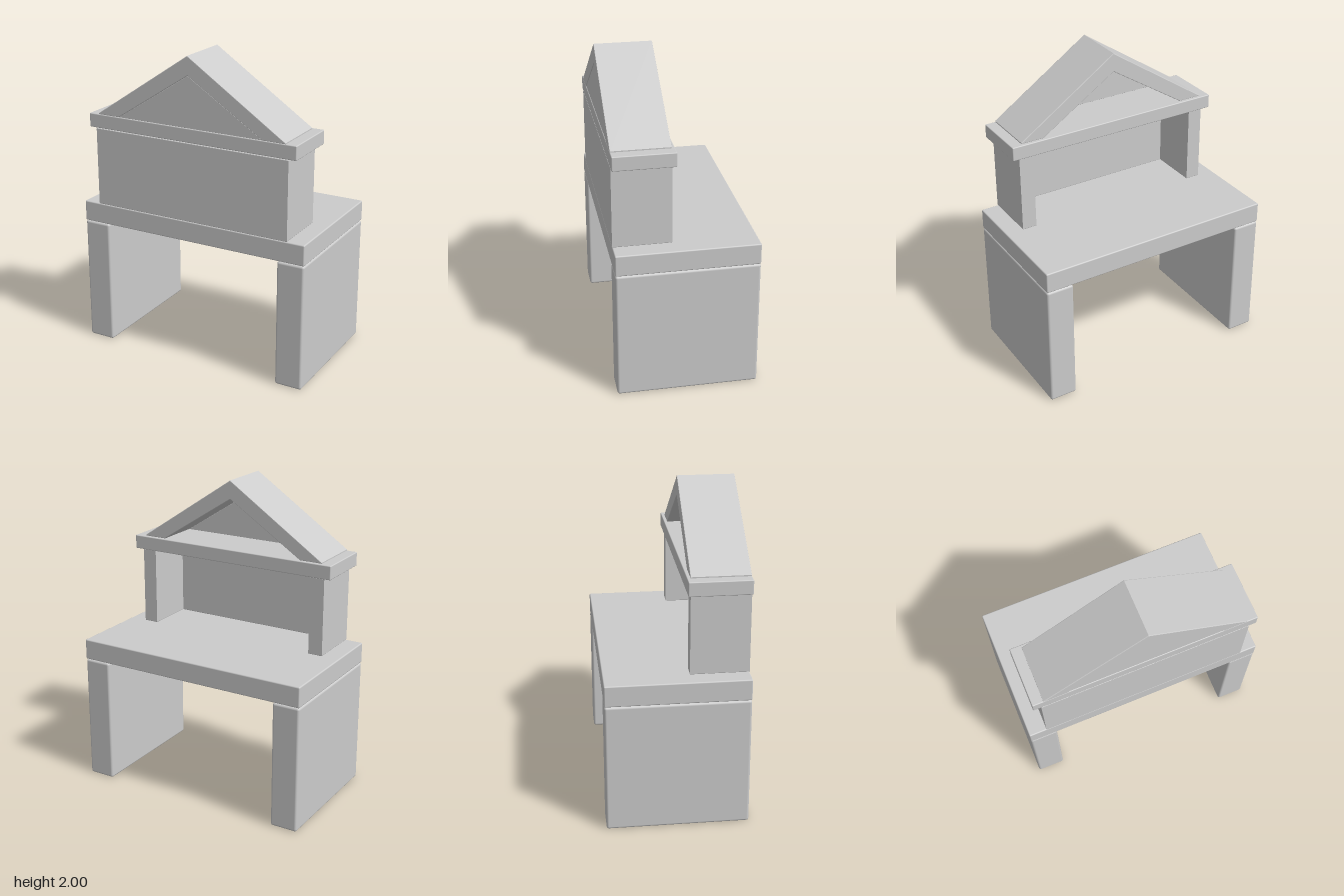
import * as THREE from 'three';
import { RoundedBoxGeometry } from 'three/addons/geometries/RoundedBoxGeometry.js';

const material = new THREE.MeshStandardMaterial({ color: 0xcccccc });

// Box given by its limits on each axis, with softly rounded edges
function slab(name, [x0, x1], [y0, y1], [z0, z1], radius) {
  const geometry = new RoundedBoxGeometry(x1 - x0, y1 - y0, z1 - z0, 3, radius);
  const mesh = new THREE.Mesh(geometry, material);
  mesh.position.set((x0 + x1) / 2, (y0 + y1) / 2, (z0 + z1) / 2);
  mesh.name = name;
  return mesh;
}

// Outline pushed from `start` to `end`, with a small bevel kept inside those limits
function extrusion(name, points, start, end, bevel) {
  const shape = new THREE.Shape(points.map(([x, y]) => new THREE.Vector2(x, y)));
  const geometry = new THREE.ExtrudeGeometry(shape, {
    depth: end - start - 2 * bevel,
    bevelEnabled: true,
    bevelThickness: bevel,
    bevelSize: bevel,
    bevelOffset: -bevel,
    bevelSegments: 2,
  });
  geometry.translate(0, 0, start + bevel);
  const mesh = new THREE.Mesh(geometry, material);
  mesh.name = name;
  return mesh;
}

export function createModel() {
  const model = new THREE.Group();
  model.name = 'puppetTheatreTable';

  // Two solid side legs and the table top
  model.add(slab('leftLeg', [0.605, 0.785], [0, 0.824], [-0.44, 0.44], 0.015));
  model.add(slab('rightLeg', [-0.785, -0.605], [0, 0.824], [-0.44, 0.44], 0.015));
  model.add(slab('tableTop', [-0.785, 0.785], [0.826, 0.96], [-0.44, 0.44], 0.008));

  // U-shaped cabinet wall: closed front and sides, open at the back
  const wall = extrusion('cabinetWall', [
    [-0.67, -0.44], [0.67, -0.44], [0.67, -0.08], [0.575, -0.08],
    [0.575, -0.405], [-0.575, -0.405], [-0.575, -0.08], [-0.67, -0.08],
  ], 0.96, 1.466, 0.004);
  wall.rotation.x = -Math.PI / 2;
  model.add(wall);

  // Cornice shelf over the cabinet
  model.add(slab('cornice', [-0.72, 0.72], [1.468, 1.558], [0.06, 0.44], 0.006));

  // Pitched roof, open underneath at the back
  model.add(extrusion('roof', [
    [0.65, 1.558], [0.65, 1.565], [0, 2], [-0.65, 1.565], [-0.65, 1.558],
    [-0.5, 1.558], [0, 1.88], [0.5, 1.558],
  ], 0.08, 0.44, 0.004));

  // Triangular panel closing the front of the roof
  model.add(extrusion('gablePanel', [
    [-0.5, 1.558], [0.5, 1.558], [0, 1.88],
  ], 0.375, 0.436, 0.003));

  return model;
}
